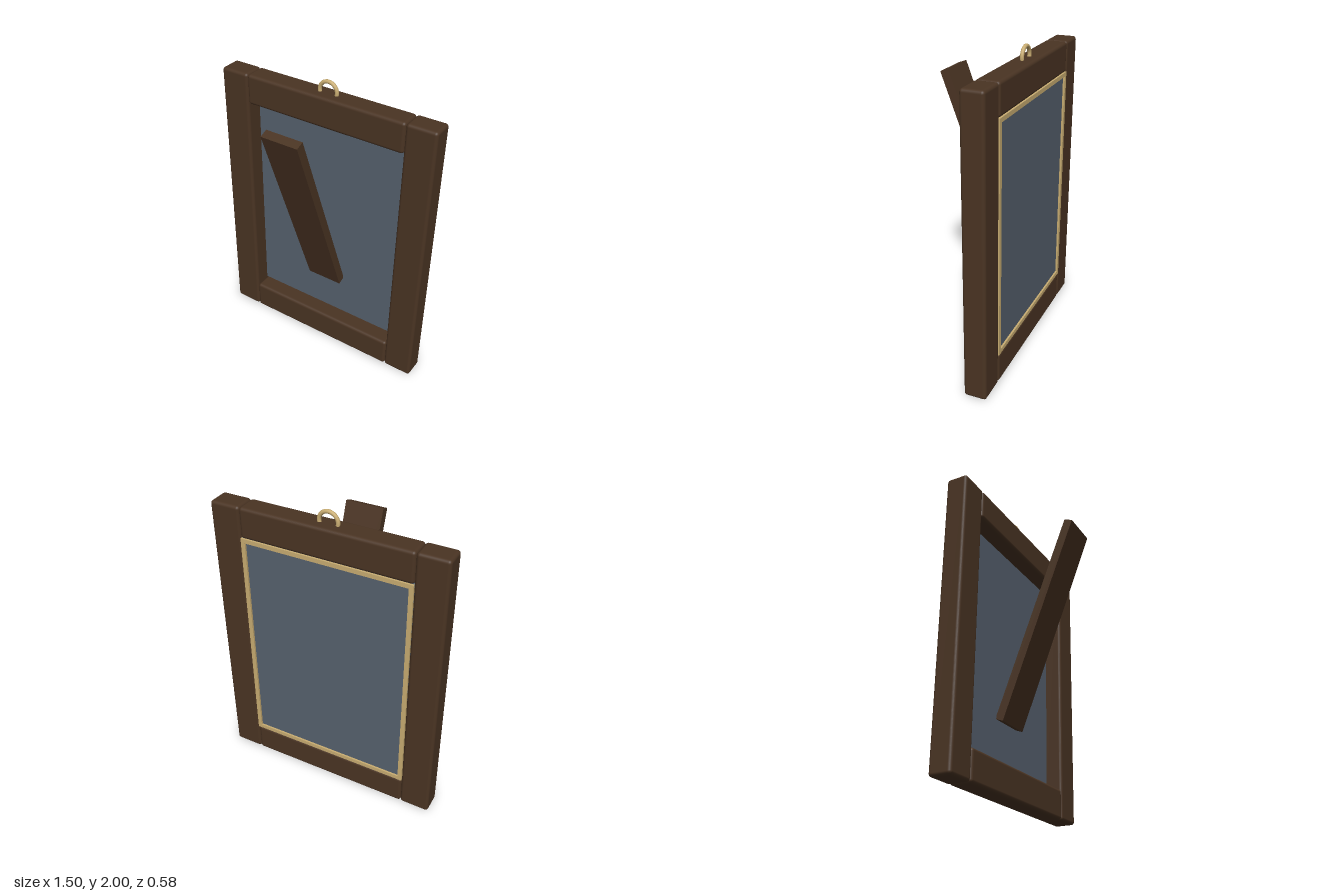
import * as THREE from 'three';
import { RoundedBoxGeometry } from 'three/addons/geometries/RoundedBoxGeometry.js';

export function createModel() {
  const model = new THREE.Group();
  model.name = 'pictureFrame';

  const wood = new THREE.MeshStandardMaterial({ name: 'darkWood', color: 0x4a3423 });
  const slate = new THREE.MeshStandardMaterial({ name: 'slatePanel', color: 0x56616e });
  const brass = new THREE.MeshStandardMaterial({ name: 'brass', color: 0xc9ad72 });

  const add = (name, geometry, material, x, y, z) => {
    const mesh = new THREE.Mesh(geometry, material);
    mesh.name = name;
    mesh.position.set(x, y, z);
    model.add(mesh);
    return mesh;
  };

  const frameZ = -0.213, depth = 0.146, height = 1.914;
  const openX = 0.555, openLow = 0.2, openHigh = 1.715;
  const midY = (openLow + openHigh) / 2, openH = openHigh - openLow;

  // Rounded frame bars
  for (const [side, s] of [['left', 1], ['right', -1]]) {
    add(side + 'Stile', new RoundedBoxGeometry(0.198, height, depth, 3, 0.02), wood, s * 0.653, height / 2, frameZ);
  }
  for (const [name, y] of [['bottomRail', 0.1], ['topRail', height - 0.1]]) {
    add(name, new RoundedBoxGeometry(1.108, 0.2, depth, 3, 0.02), wood, 0, y, frameZ);
  }

  // Panel set near the back of the opening
  add('panel', new THREE.BoxGeometry(openX * 2, openH, 0.02), slate, 0, midY, -0.265);

  // Thin brass trim around the panel
  const t = 0.028, trimZ = -0.278;
  for (const [side, s] of [['left', 1], ['right', -1]]) {
    add(side + 'Trim', new THREE.BoxGeometry(t, openH, 0.02), brass, s * (openX - t / 2), midY, trimZ);
  }
  for (const [name, y] of [['bottomTrim', openLow + t / 2], ['topTrim', openHigh - t / 2]]) {
    add(name, new THREE.BoxGeometry(openX * 2 - t, t, 0.018), brass, 0, y, trimZ);
  }

  // Tilted stand leg
  const leg = add('standLeg', new THREE.BoxGeometry(0.25, 1.415, 0.058), wood, 0, 1.163, 0.013);
  leg.rotation.x = THREE.MathUtils.degToRad(20.5);

  // Hanging loop, with its ends sunk into the top rail
  const dip = 0.4;
  const loop = add('hangingLoop', new THREE.TorusGeometry(0.06, 0.0125, 12, 28, Math.PI + 2 * dip), brass, 0, 1.9275, frameZ);
  loop.rotation.z = -dip;

  return model;
}
